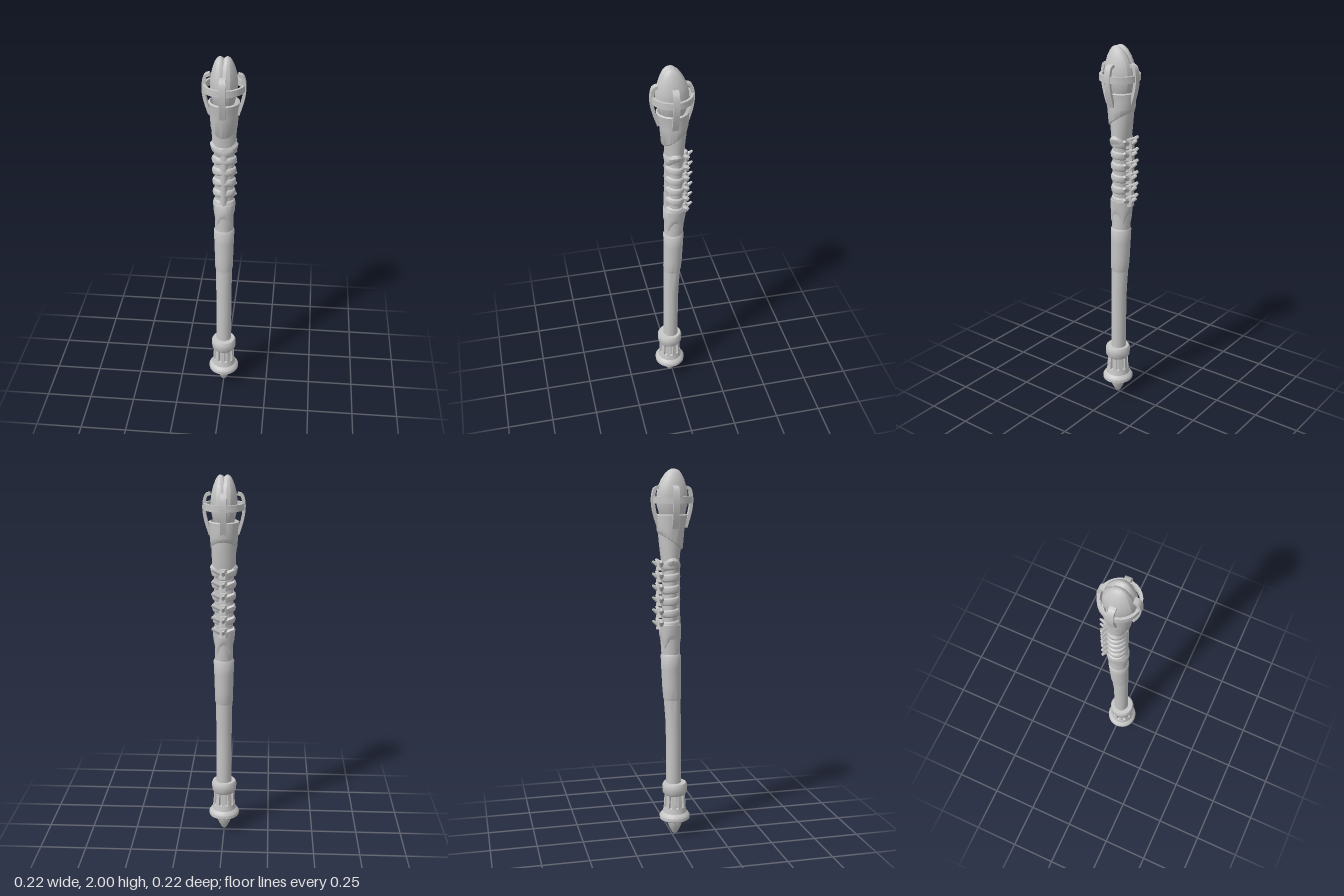
import * as THREE from 'three';
import { toCreasedNormals } from 'three/addons/utils/BufferGeometryUtils.js';

const grey = new THREE.MeshStandardMaterial({ color: 0xc6c6c6 });
grey.name = 'stone grey';

function add(parent, name, geo, crease = 0.7) {
  const mesh = new THREE.Mesh(toCreasedNormals(geo, crease), grey);
  mesh.name = name;
  parent.add(mesh);
  return mesh;
}

// Closed loft through elliptical sections [y, centre z, radius x, radius z], bottom to top.
// lift(angle, row) shifts points up or down for slanted and pointed edges; angle 0 faces front.
function loft(sections, sides = 18, lift = () => 0) {
  const rows = sections.length - 1;
  const geo = new THREE.CylinderGeometry(1, 1, 1, sides, rows);
  const p = geo.attributes.position;
  for (let i = 0; i < p.count; i++) {
    const row = Math.round((p.getY(i) + 0.5) * rows);
    const [y, cz, rx, rz] = sections[row];
    const x = p.getX(i), z = p.getZ(i);
    p.setXYZ(i, x * rx, y + lift(Math.atan2(x, z), row), cz + z * rz);
  }
  return geo;
}

const profile = (pts, segments = 24) =>
  new THREE.LatheGeometry(pts.map(([r, y]) => new THREE.Vector2(r, y)), segments);

function makePommel() {
  const g = new THREE.Group();
  g.name = 'pommel';
  g.position.z = 0.015;
  add(g, 'tip', profile([[0, 0], [0.014, 0.01], [0.032, 0.045], [0.044, 0.08], [0.044, 0.1]], 14));
  add(g, 'lowerRing', profile([[0.03, 0.088], [0.07, 0.088], [0.083, 0.097], [0.084, 0.115],
    [0.075, 0.128], [0.066, 0.135], [0.061, 0.165], [0.04, 0.17]]));
  add(g, 'core', profile([[0.049, 0.15], [0.046, 0.25]]));
  add(g, 'upperCollar', profile([[0.04, 0.232], [0.057, 0.236], [0.067, 0.25], [0.069, 0.29],
    [0.062, 0.304], [0.035, 0.306]]));
  // fluted bars
  for (let i = 0; i < 10; i++) {
    const bar = new THREE.BoxGeometry(0.021, 0.09, 0.018);
    bar.rotateX(-0.06);
    bar.translate(0, 0.2, 0.049);
    bar.rotateY(i * Math.PI / 5);
    add(g, 'flute', bar);
  }
  return g;
}

function makeSpine() {
  const g = new THREE.Group();
  g.name = 'spine';
  for (let i = 0; i < 6; i++) {
    const y = 1.19 + i * 0.063;
    const k = 0.96 + i * 0.025;
    // rib hoop
    const rib = new THREE.TorusGeometry(0.048, 0.012, 8, 20);
    rib.rotateX(Math.PI / 2);
    rib.scale(1.04 * k, 1.75, 0.92);
    rib.rotateX(-0.12);
    rib.translate(0, y, -0.012);
    add(g, 'rib', rib);
    // vertebra body
    const body = new THREE.CylinderGeometry(0.021, 0.028, 0.05, 7);
    body.translate(0, y, -0.06);
    add(g, 'vertebra', body, 0.4);
    // blunt rear spike, tipped up
    const spike = new THREE.CylinderGeometry(0.006, 0.019, 0.055, 6);
    spike.scale(0.8, 1, 1);
    spike.rotateX(-1.0);
    spike.translate(0, y + 0.006, -0.083);
    add(g, 'rearSpike', spike, 0.4);
    // side wings
    for (const s of [-1, 1]) {
      const wing = new THREE.CylinderGeometry(0.008, 0.018, 0.06, 6);
      wing.rotateZ(-s * 1.1);
      wing.rotateY(s * 0.3);
      wing.translate(s * 0.034, y + 0.01, -0.064);
      add(g, 'sideWing', wing, 0.4);
    }
  }
  return g;
}

function makeCage() {
  const g = new THREE.Group();
  g.name = 'cage';
  add(g, 'cageRing', profile([[0.091, 1.826], [0.105, 1.826], [0.105, 1.86], [0.091, 1.86], [0.091, 1.826]], 28));
  const path = new THREE.CatmullRomCurve3([[0.07, 1.7], [0.088, 1.755], [0.1, 1.81], [0.101, 1.86],
    [0.09, 1.9], [0.068, 1.908]].map(([r, y]) => new THREE.Vector3(r, y, 0)));
  const outer = [], inner = [];
  for (let i = 0; i <= 14; i++) {
    const c = path.getPoint(i / 14), t = path.getTangent(i / 14);
    outer.push(new THREE.Vector2(c.x + t.y * 0.008, c.y - t.x * 0.008));
    inner.unshift(new THREE.Vector2(c.x - t.y * 0.008, c.y + t.x * 0.008));
  }
  const shape = new THREE.Shape([...outer, ...inner]);
  for (let i = 0; i < 4; i++) {
    const prong = new THREE.ExtrudeGeometry(shape, { depth: 0.032, bevelEnabled: false });
    prong.translate(0, 0, -0.016);
    prong.rotateY(i * Math.PI / 2);
    add(g, 'prong', prong);
  }
  return g;
}

function makeGem() {
  const g = new THREE.Group();
  g.name = 'gem';
  // two overlapping lobes lean apart and leave a small cleft at the top
  for (const s of [-1, 1]) {
    const lobe = loft([[0, 0, 0.035, 0.045], [0.04, 0, 0.05, 0.068], [0.09, 0, 0.058, 0.081],
      [0.14, 0, 0.058, 0.081], [0.18, 0, 0.052, 0.073], [0.22, 0.003, 0.039, 0.057],
      [0.25, 0.006, 0.025, 0.038], [0.264, 0.008, 0.014, 0.022], [0.27, 0.008, 0.005, 0.01]], 14);
    lobe.rotateZ(-s * 0.06);
    lobe.translate(s * 0.003, 1.73, 0);
    add(g, 'gemLobe', lobe, 0.45);
  }
  return g;
}

export function createModel() {
  const model = new THREE.Group();
  model.name = 'sceptre';
  model.add(makePommel());

  // shaft and grip
  add(model, 'shaft', loft([[0.29, 0.009, 0.042, 0.041], [0.5, 0.008, 0.042, 0.041],
    [0.65, 0.006, 0.043, 0.042], [0.8, 0, 0.046, 0.047]]));
  add(model, 'grip', loft([[0.775, 0.001, 0.045, 0.046], [0.79, 0, 0.049, 0.049], [0.85, -0.003, 0.05, 0.051],
    [0.95, -0.006, 0.053, 0.053], [1.02, -0.007, 0.056, 0.055], [1.03, -0.007, 0.05, 0.05]]));
  add(model, 'neck', loft([[1.0, -0.007, 0.049, 0.049], [1.1, -0.01, 0.049, 0.053],
    [1.2, -0.012, 0.05, 0.055]]));

  // sleeve below the ribs, with pointed arches along its lower edge
  add(model, 'lowerSleeve', loft([[1.06, -0.009, 0.048, 0.052], [1.075, -0.009, 0.053, 0.057],
    [1.14, -0.011, 0.056, 0.06], [1.19, -0.012, 0.06, 0.06], [1.205, -0.012, 0.048, 0.048]], 24,
  (a, row) => row < 2 ? 0.055 * Math.abs(Math.cos(2 * a)) : 0));

  // hollowed middle
  add(model, 'ribCore', loft([[1.17, -0.012, 0.049, 0.042], [1.35, -0.014, 0.051, 0.04],
    [1.54, -0.01, 0.054, 0.044]]));
  add(model, 'breastStrip', loft([[1.17, 0.022, 0.022, 0.024], [1.35, 0.021, 0.021, 0.022],
    [1.52, 0.02, 0.026, 0.022]], 10));
  model.add(makeSpine());

  // upper collar, neck and cup
  add(model, 'upperCollar', loft([[1.48, -0.01, 0.057, 0.044], [1.492, -0.01, 0.068, 0.05],
    [1.518, -0.009, 0.073, 0.053], [1.535, -0.009, 0.06, 0.046]], 24,
  a => -0.014 * Math.cos(2 * a)));
  add(model, 'upperNeck', loft([[1.51, -0.01, 0.06, 0.046], [1.57, -0.011, 0.063, 0.053],
    [1.64, -0.011, 0.065, 0.061], [1.7, -0.009, 0.066, 0.068]]));
  add(model, 'cup', loft([[1.625, -0.01, 0.061, 0.06], [1.632, -0.01, 0.068, 0.066],
    [1.69, -0.009, 0.073, 0.073], [1.735, -0.004, 0.075, 0.079], [1.765, -0.002, 0.08, 0.082],
    [1.77, -0.002, 0.07, 0.074], [1.735, -0.002, 0.06, 0.064]], 24,
  (a, row) => row < 2 ? -0.04 * Math.cos(a) : 0));
  model.add(makeCage());
  model.add(makeGem());
  return model;
}
